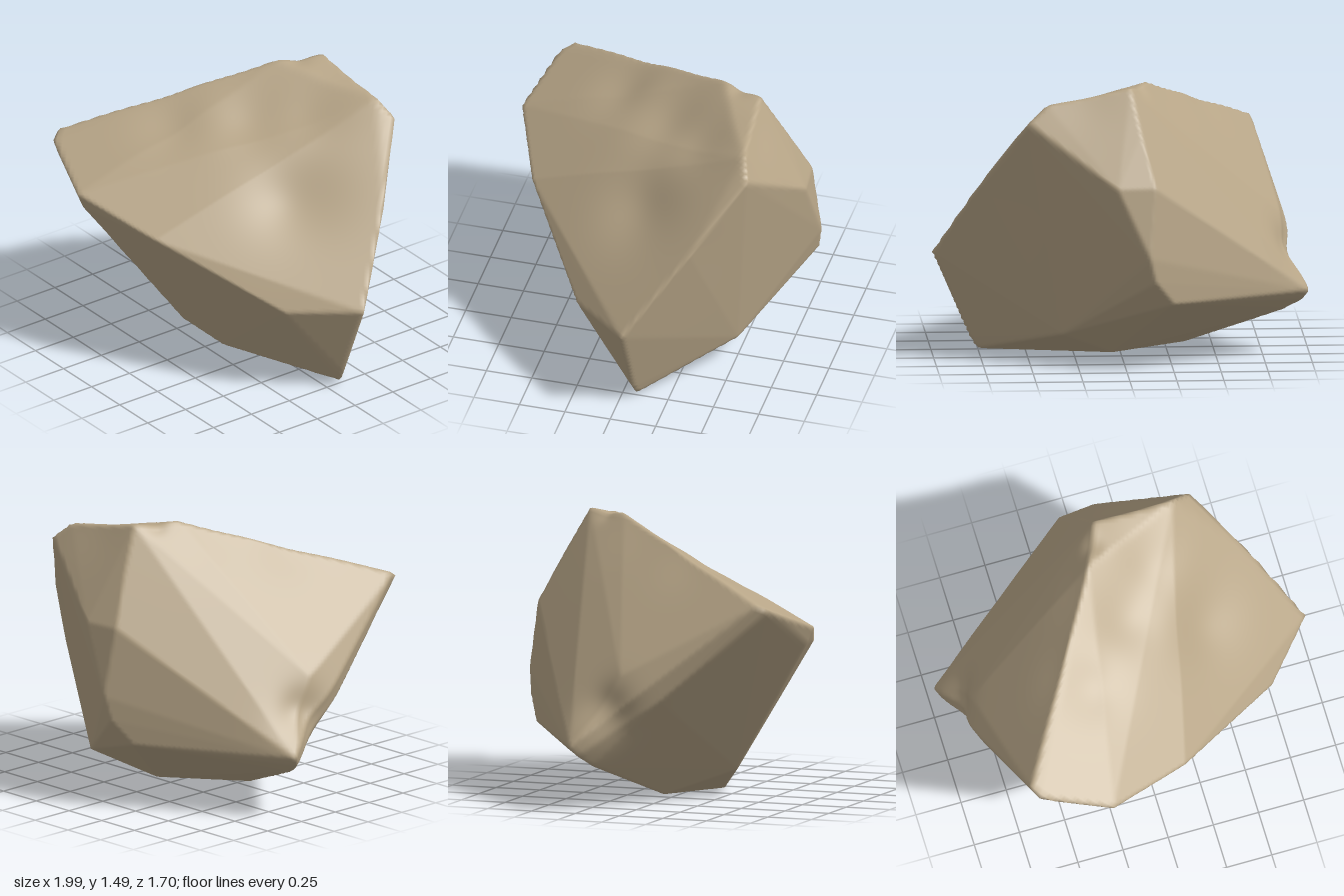
import * as THREE from 'three';
import { mergeVertices } from 'three/addons/utils/BufferGeometryUtils.js';
import { ConvexGeometry } from 'three/addons/geometries/ConvexGeometry.js';

const V = (x, y, z) => new THREE.Vector3(x, y, z);

// Main corners of the boulder
const corners = [
  // top plateau
  V(-0.74, 1.13, 0.68), V(-0.7, 1.1, 0.74), V(-0.13, 1.5, -0.32), V(-0.03, 1.5, -0.55),
  V(0.42, 1.42, -0.58), V(0.52, 1.33, -0.62), V(0.76, 0.97, -0.37),
  // front overhanging ridge
  V(-0.33, 0.97, 0.85), V(-0.33, 0.88, 0.81), V(0.12, 0.83, 0.67), V(0.4, 0.67, 0.45),
  V(0.72, 0.52, 0.26), V(1, 0.54, -0.06),
  // left side
  V(-0.86, 0.73, -0.05), V(-0.85, 0.6, 0.17), V(-1, 0.35, -0.29), V(-0.97, 0.3, -0.25),
  V(-0.88, 0.24, -0.2),
  // rear
  V(-0.08, 1.27, -0.67), V(-0.15, 1, -0.8), V(0.05, 1, -0.82), V(-0.12, 0.63, -0.86),
  V(-0.15, 0.5, -0.84), V(-0.25, 0.37, -0.77), V(0.33, 0.17, -0.52),
  // foot
  V(-0.05, 0.27, 0.34), V(-0.1, 0.15, 0.32), V(-0.35, 0.03, 0), V(0.07, 0.02, 0.18),
  V(0.37, 0, 0), V(0.76, 0.02, -0.08), V(0.8, 0.08, -0.07), V(0.05, 0.03, -0.3),
];

// Shallow hollows: centre, radius, depth
const hollows = [
  [V(-0.92, 0.53, -0.13), 0.15, 0.06],
  [V(-0.3, 1.2, 0.25), 0.18, 0.035],
  [V(0, 1.3, -0.1), 0.22, 0.05],
  [V(0.22, 1.33, -0.35), 0.19, 0.05],
  [V(0.45, 1, -0.05), 0.25, 0.05],
  [V(-0.08, 1.5, -0.44), 0.06, 0.02],
];

function boulderGeometry() {
  const centre = V(0, 0.65, 0);
  const hull = new ConvexGeometry(corners).getAttribute('position');
  const planes = [];
  for (let i = 0; i < hull.count; i += 3) {
    const [a, b, c] = [0, 1, 2].map((k) => V().fromBufferAttribute(hull, i + k).sub(centre));
    planes.push(new THREE.Plane().setFromCoplanarPoints(a, b, c));
  }
  let geo = new THREE.IcosahedronGeometry(1, 64);
  geo.deleteAttribute('uv');
  geo.deleteAttribute('normal');
  geo = mergeVertices(geo, 1e-5);
  const pos = geo.getAttribute('position');
  const p = V();
  for (let i = 0; i < pos.count; i++) {
    // Push each direction out to the faceted hull
    p.fromBufferAttribute(pos, i).normalize();
    let r = Infinity;
    for (const { normal, constant } of planes) {
      const d = normal.dot(p);
      if (d > 1e-4) r = Math.min(r, -constant / d);
    }
    const dir = p.clone();
    p.multiplyScalar(r).add(centre);
    // Press in the hollows
    let dent = 0;
    for (const [c, radius, depth] of hollows) {
      dent += depth * Math.exp(-p.distanceToSquared(c) / (radius * radius));
    }
    p.addScaledVector(dir, -dent);
    pos.setXYZ(i, p.x, p.y, p.z);
  }
  geo.computeVertexNormals();
  return geo;
}

export function createModel() {
  const group = new THREE.Group();
  group.name = 'rock';
  const stone = new THREE.MeshStandardMaterial({ color: 0xb8a688 });
  stone.name = 'sandstone';
  const boulder = new THREE.Mesh(boulderGeometry(), stone);
  boulder.name = 'boulder';
  group.add(boulder);
  return group;
}
